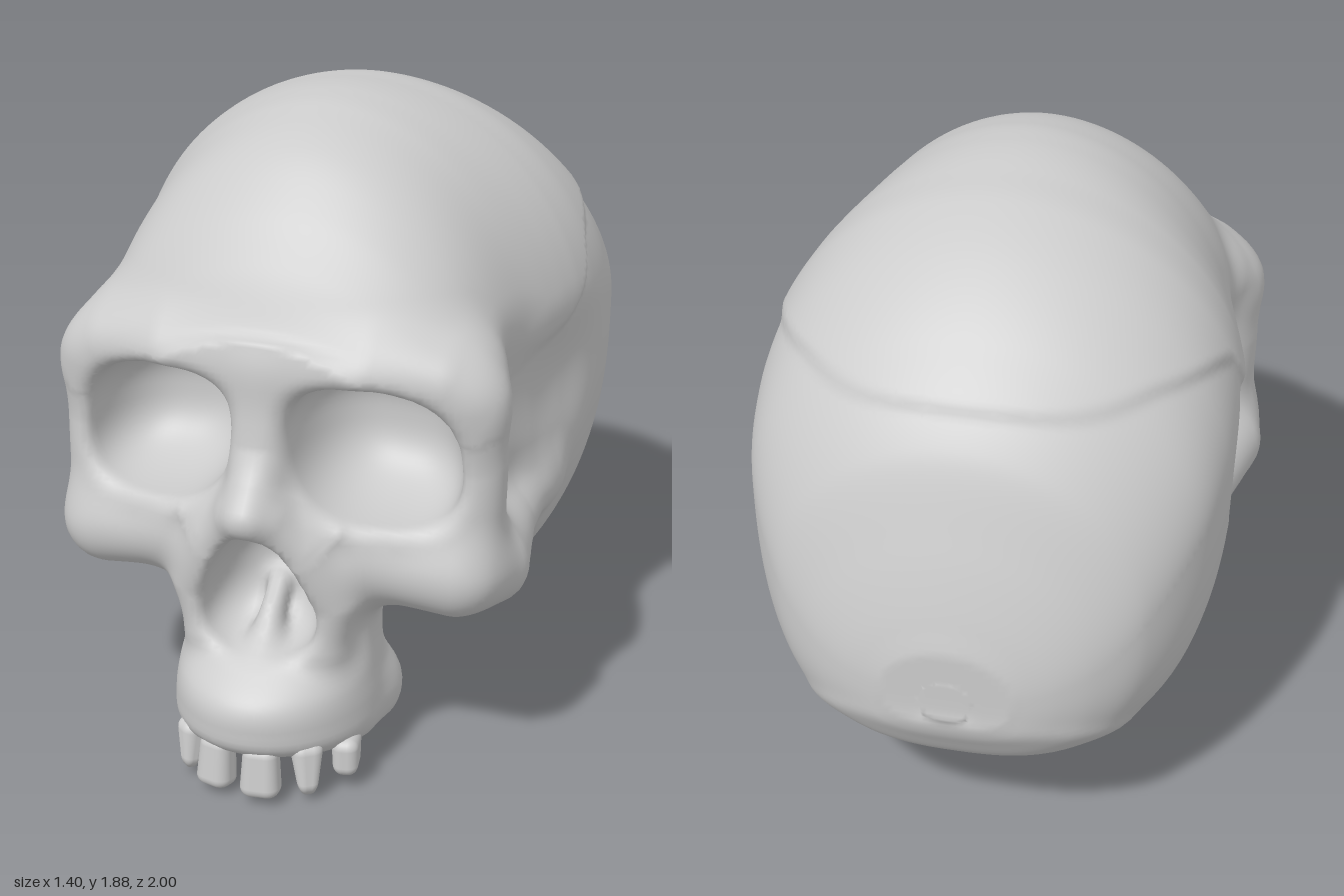
import * as THREE from 'three';
import { RoundedBoxGeometry } from 'three/addons/geometries/RoundedBoxGeometry.js';

const { abs, min, max, hypot, exp } = Math;
const bone = new THREE.MeshStandardMaterial({ color: 0xcccccc });

// ---- sculpting helpers: signed fields, negative inside ----
const blend = (a, b, k) => { const h = max(k - abs(a - b), 0) / k; return min(a, b) - h * h * k / 4; };
const carve = (a, b, k) => -blend(-a, b, k);
const step = (a, b, v) => THREE.MathUtils.smoothstep(v, a, b);

// smooth curve through table rows [t, value, value...], reading one column
function curve(rows, t, col) {
  const n = rows.length - 1;
  if (t <= rows[0][0]) return rows[0][col];
  if (t >= rows[n][0]) return rows[n][col];
  let i = 0;
  while (t > rows[i + 1][0]) i++;
  const slope = (a, b) => (rows[b][col] - rows[a][col]) / (rows[b][0] - rows[a][0]);
  const d = rows[i + 1][0] - rows[i][0], s = (t - rows[i][0]) / d;
  const m0 = slope(max(i - 1, 0), i + 1) * d, m1 = slope(i, min(i + 2, n)) * d;
  const s2 = s * s, s3 = s2 * s;
  return (2 * s3 - 3 * s2 + 1) * rows[i][col] + (s3 - 2 * s2 + s) * m0
    + (3 * s2 - 2 * s3) * rows[i + 1][col] + (s3 - s2) * m1;
}

// solid from oval cross-sections, rows are [t, high, low, halfWidth, middle]
function loft(rows, t, x, v, pHigh, pLow) {
  const w = curve(rows, t, 3), mid = curve(rows, t, 4), up = v > mid;
  const h = up ? curve(rows, t, 1) - mid : mid - curve(rows, t, 2), p = up ? pHigh : pLow;
  const f = (((x / w) ** p + (abs(v - mid) / h) ** p) ** (1 / p) - 1) * min(w, h);
  return max(f, rows[0][0] - t, t - rows[rows.length - 1][0]);
}

// rounded bar through points [x, y, z, radius]
function bar(pts, x, y, z) {
  let best = 9;
  for (let i = 0; i < pts.length - 1; i++) {
    const [ax, ay, az, ar] = pts[i], [bx, by, bz, br] = pts[i + 1];
    const dx = bx - ax, dy = by - ay, dz = bz - az;
    const t = min(1, max(0, ((x - ax) * dx + (y - ay) * dy + (z - az) * dz) / (dx * dx + dy * dy + dz * dz)));
    best = min(best, hypot(x - ax - dx * t, y - ay - dy * t, z - az - dz * t) - ar - (br - ar) * t);
  }
  return best;
}

const oval = (x, y, z, c, r, p = 2) => ((abs(x - c[0]) / r[0]) ** p + (abs(y - c[1]) / r[1]) ** p
  + (abs(z - c[2]) / r[2]) ** p) ** (1 / p) * min(...r) - min(...r);

// ---- shape of the bone ----
const CRANIUM = [ // z, top, bottom, half width, height of widest point
  [-1, .77, .63, .08, .7], [-.99, .84, .58, .18, .71], [-.96, .97, .52, .3, .74], [-.9, 1.16, .43, .42, .8],
  [-.8, 1.41, .35, .54, .92], [-.6, 1.62, .24, .655, 1.08], [-.4, 1.76, .175, .697, 1.16], [-.2, 1.84, .15, .7, 1.2],
  [-.05, 1.862, .18, .683, 1.2], [.03, 1.869, .27, .668, 1.18], [.12, 1.868, .47, .65, 1.15], [.25, 1.852, .56, .62, 1.14],
  [.45, 1.785, .54, .595, 1.13], [.6, 1.655, .56, .57, 1.12], [.7, 1.52, .6, .51, 1.1], [.75, 1.43, .7, .44, 1.09],
  [.79, 1.33, .8, .33, 1.08]];
const MUZZLE = [ // y, front, back, half width, depth of widest point
  [.06, .62, .44, .17, .53], [.1, .82, .395, .27, .6], [.16, .97, .375, .3, .64], [.24, 1, .375, .3, .65],
  [.32, .985, .39, .29, .65], [.42, .88, .405, .28, .62], [.55, .83, .4, .285, .6], [.7, .82, .35, .3, .58],
  [.85, .78, .3, .28, .55]];
const DOME_EDGE = [[-.95, 1.7], [-.73, 1.5], [-.5, 1.5], [-.2, 1.42], [-.1, 1.29], [.03, 1.2], [.3, 1.18], [.5, 1.22], [.7, 1.3]];
const CHEEK = [[.3, .7, .69, .1], [.53, .67, .65, .11], [.585, .64, .5, .115], [.55, .655, .25, .1], [.57, .69, 0, .07]];
const ORBIT_SIDE = [[.56, .7, .65, .07], [.585, 1, .625, .05], [.57, 1.2, .64, .05]];
const BROW = [[0, 1.275, .72, .07], [.3, 1.29, .725, .07], [.48, 1.26, .69, .065], [.58, 1.18, .63, .055]];
const NASAL = [[0, 1.24, .71, .07], [0, 1.02, .78, .065], [0, .88, .915, .055]];
const NOSE_RIM = [[.05, .84, .86, .05], [.12, .76, .83, .05], [.205, .58, .78, .055], [.18, .45, .78, .05]];
const SEPTUM = [[0, .41, .79, .035], [0, .5, .72, .03], [0, .56, .66, .02]];

function field(sx, y, z) {
  const x = abs(sx);
  // braincase with the raised front dome, rear ridge and hollow temples
  let f = loft(CRANIUM, z, x, y, 1.93, 2.65);
  const soft = .03 + .1 * step(.1, .45, z);
  f -= .018 * step(-soft, soft, y - curve(DOME_EDGE, z, 1)) * step(-.85, -.7, z);
  const nape = y - .57 + (z + .95) * .5;
  f -= .012 * exp(-((nape / .04) ** 2)) * (1 - step(-.8, -.5, z));
  f = carve(f, oval(x, y, z, [.75, 1.05, .42], [.18, .24, .26]), .14);
  f = carve(f, oval(x, y, z, [.75, 1.02, .06], [.1, .14, .18]), .14);
  // face plate, curving back at the sides
  const zb = z + .28 * x * x - .68, qx = max(x - .52, 0), qy = max(abs(y - .985) - .25, 0), qz = max(abs(zb) - .01, 0);
  f = blend(f, hypot(qx, qy, qz) - .1, .14);
  f = blend(f, bar(BROW, x, y, z), .1);
  f = blend(f, bar(ORBIT_SIDE, x, y, z), .12);
  f = blend(f, bar(CHEEK, x, y, z), .12);
  // upper jaw with the swellings behind the tooth row
  if (y < 1.1 && z > .1) {
    let jaw = loft(MUZZLE, y, x, z, 2, 3);
    jaw = blend(jaw, hypot(x - .21, y - .18, z - .47) - .08, .12);
    jaw = carve(jaw, oval(x, y, z, [0, .03, .6], [.12, .05, .2]), .08);
    f = blend(f, jaw, .12);
  }
  f = blend(f, bar(NASAL, x, y, z), .1);
  f = blend(f, bar(NOSE_RIM, x, y, z), .09);
  // eye sockets
  const ex = x - .1 * (1.04 - y), ey = y + .06 * (x - .325);
  f = carve(f, oval(ex, ey, z, [.322, 1.04, .8], [.235, .205, .35], 2.6), .05);
  // pear-shaped nose opening, bowl-like inside, with a low divider
  const u = (y - .61) / .195, w = .155 - .06 * u;
  if (abs(u) < 2) {
    const deep = max(.84 - z, 0) / .22;
    const pear = ((x / w) ** 2.4 + abs(u) ** 2.4 + deep ** 2.4) ** (1 / 2.4) * .15 - .15;
    f = carve(f, pear, .03);
    f = blend(f, bar(SEPTUM, x, y, z), .07);
  }
  return f;
}

// ---- skin the field with a grid of quads ----
function skin() {
  const s = .02, lo = [-.76, -.02, -1.06], n = [77, 98, 105];
  const stride = [1, n[0], n[0] * n[1]], total = n[0] * n[1] * n[2];
  const val = new Float32Array(total), cell = new Int32Array(total).fill(-1);
  const pos = [], nor = [];
  const each = fn => {
    for (let k = 0; k < n[2]; k++) for (let j = 0; j < n[1]; j++) for (let i = 0; i < n[0]; i++)
      fn([i, j, k], i + j * stride[1] + k * stride[2]);
  };
  each((c, id) => { val[id] = field(lo[0] + c[0] * s, lo[1] + c[1] * s, lo[2] + c[2] * s); });
  // one point in every cell the surface crosses
  each((c, id) => {
    if (c.some((v, a) => v >= n[a] - 1)) return;
    const sum = [0, 0, 0];
    let hits = 0;
    for (let a = 0; a < 3; a++) for (let m = 0; m < 4; m++) {
      const b = (a + 1) % 3, d = (a + 2) % 3, ob = m & 1, od = m >> 1;
      const p = id + ob * stride[b] + od * stride[d], v0 = val[p], v1 = val[p + stride[a]];
      if ((v0 < 0) === (v1 < 0)) continue;
      sum[a] += v0 / (v0 - v1); sum[b] += ob; sum[d] += od; hits++;
    }
    if (!hits) return;
    const [x, y, z] = sum.map((v, a) => lo[a] + (c[a] + v / hits) * s), e = .012;
    const g = new THREE.Vector3(field(x + e, y, z) - field(x - e, y, z), field(x, y + e, z) - field(x, y - e, z),
      field(x, y, z + e) - field(x, y, z - e)).normalize();
    cell[id] = pos.length / 3;
    pos.push(x, y, z); nor.push(g.x, g.y, g.z);
  });
  // quads around crossed grid edges, sorted into named regions
  const parts = { cranium: [], face: [], upperJaw: [] };
  each((c, id) => {
    for (let a = 0; a < 3; a++) {
      if (c[a] >= n[a] - 1) continue;
      const inside = val[id] < 0;
      if (inside === (val[id + stride[a]] < 0)) continue;
      const b = stride[(a + 1) % 3], d = stride[(a + 2) % 3];
      const q = [id - b - d, id - d, id, id - b].map(v => cell[v]);
      if (!inside) q.reverse();
      const y = lo[1] + c[1] * s, z = lo[2] + c[2] * s;
      const name = z > .3 && y < .5 ? 'upperJaw' : z > .45 && y < 1.36 ? 'face' : 'cranium';
      parts[name].push(q[0], q[1], q[2], q[0], q[2], q[3]);
    }
  });
  const P = new THREE.Float32BufferAttribute(pos, 3), N = new THREE.Float32BufferAttribute(nor, 3);
  return Object.entries(parts).map(([name, index]) => {
    const g = new THREE.BufferGeometry();
    g.setAttribute('position', P); g.setAttribute('normal', N); g.setIndex(index);
    const mesh = new THREE.Mesh(g, bone);
    mesh.name = name;
    return mesh;
  });
}

// ---- teeth: rounded blocks, tapered or flared toward the tip ----
function tooth(name, x, y, z, w, h, d, tip, turn, lean = 0) {
  const g = new RoundedBoxGeometry(w, h, d, 4, min(w, d) * .4), p = g.attributes.position;
  for (let i = 0; i < p.count; i++) {
    const k = 1 + (tip - 1) * (.5 - p.getY(i) / h);
    p.setX(i, p.getX(i) * k); p.setZ(i, p.getZ(i) * k);
  }
  const m = new THREE.Mesh(g, bone);
  m.name = name; m.position.set(x, y, z); m.rotation.set(lean, turn, 0, 'YXZ');
  return m;
}

export function createModel() {
  const model = new THREE.Group(), teeth = new THREE.Group();
  model.name = 'skull'; teeth.name = 'teeth';
  model.add(...skin(), teeth);
  teeth.add(
    tooth('rightIncisor', -.092, .105, .93, .095, .16, .08, 1.2, -.25, -.1),
    tooth('leftIncisor', .048, .105, .945, .1, .16, .08, 1.2, .12, -.1),
    tooth('rightCanine', -.19, .115, .885, .09, .16, .09, .5, -.7, -.1),
    tooth('leftCanine', .17, .11, .895, .1, .17, .09, .5, .6, -.1),
    tooth('leftPremolar', .25, .11, .78, .08, .12, .12, .9, .2),
    tooth('rightPremolar', -.25, .09, .7, .08, .12, .09, .9, -.1),
    tooth('rightMolar', -.245, .06, .6, .08, .11, .09, .9, 0));
  return model;
}
